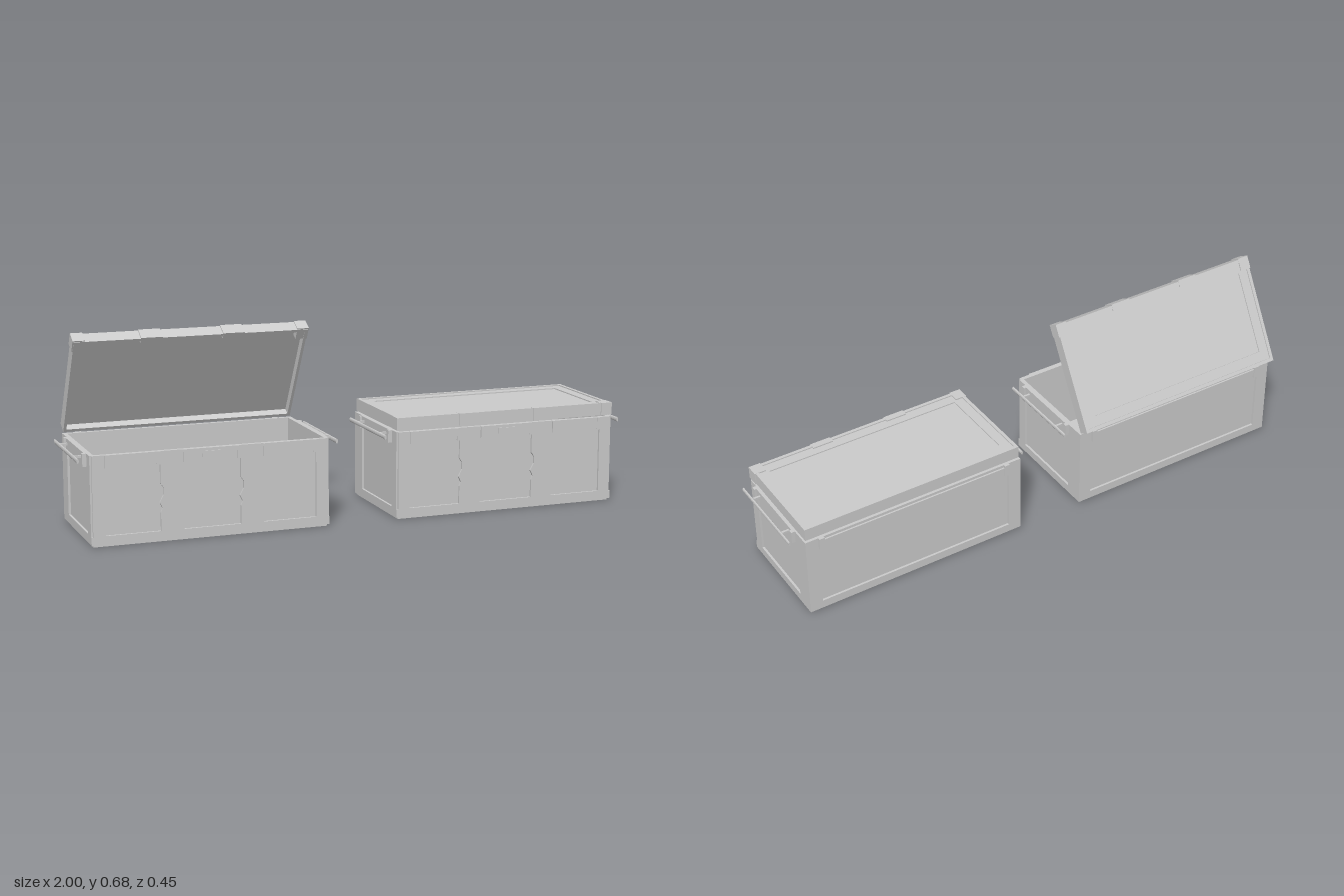
import * as THREE from 'three';

const mat = new THREE.MeshStandardMaterial({ color: 0xcccccc, flatShading: true });

function add(parent, name, geo) {
  const m = new THREE.Mesh(geo, mat);
  m.name = name;
  parent.add(m);
  return m;
}

// box given by its min and max on each axis
function box(parent, name, x0, x1, y0, y1, z0, z1) {
  const m = add(parent, name, new THREE.BoxGeometry(x1 - x0, y1 - y0, z1 - z0));
  m.position.set((x0 + x1) / 2, (y0 + y1) / 2, (z0 + z1) / 2);
  return m;
}

const rect = (x0, x1, y0, y1) => [[x0, y0], [x1, y0], [x1, y1], [x0, y1]];

// flat plate with cut-outs, extruded along +z
function plate(outline, holes, depth) {
  const pts = (a) => a.map(([x, y]) => new THREE.Vector2(x, y));
  const s = new THREE.Shape(pts(outline));
  holes.forEach((h) => s.holes.push(new THREE.Path(pts(h))));
  return new THREE.ExtrudeGeometry(s, { depth, bevelEnabled: false });
}

// horizontal frame lying in xz, between y0 and y1
function ring(parent, name, x, z0, z1, inset, y0, y1) {
  const geo = plate(rect(-x, x, -z1, -z0),
    [rect(-x + inset, x - inset, -z1 + inset, -z0 - inset)], y1 - y0);
  const m = add(parent, name, geo.rotateX(-Math.PI / 2));
  m.position.y = y0;
  return m;
}

const W = 0.418, ZB = -0.187, ZF = 0.217, TOP = 0.31, T = 0.008;

// front recess whose chosen edges step outward at mid height
function wavyHole(x0, x1, waveL, waveR) {
  const ys = [[0.037, 0], [0.1, 0], [0.115, 0.006], [0.135, -0.003], [0.16, 0.01], [0.185, 0.01], [0.2, 0], [0.265, 0]];
  const right = ys.map(([y, d]) => [x1 + (waveR ? d : 0), y]);
  const left = ys.map(([y, d]) => [x0 - (waveL ? d : 0), y]).reverse();
  return [...right, ...left];
}

function makeBody() {
  const g = new THREE.Group();
  g.name = 'body';
  box(g, 'foot', -W + 0.007, W - 0.007, 0, 0.01, ZB + 0.007, ZF - 0.007);
  box(g, 'base', -W, W, 0.007, 0.035, ZB, ZF);

  // thin inner walls
  ring(g, 'innerWalls', W - T, ZB + T, ZF - T, 0.007, 0.035, TOP);

  // front frame with three recesses and their grip tabs
  const bays = [[-0.37, -0.18, false, true], [-0.1, 0.1, true, true], [0.18, 0.37, true, false]];
  const front = add(g, 'frontFrame', plate(rect(-W + 0.006, W - 0.006, 0.035, TOP),
    bays.map((b) => wavyHole(...b)), T));
  front.position.z = ZF - T;
  for (const [a, b] of bays) {
    box(g, 'frontTab', a, b, 0.272, TOP, ZF - 0.002, ZF + 0.004);
    for (const x of [a, b - 0.012]) box(g, 'frontTabEnd', x, x + 0.012, 0.267, TOP, ZF - 0.002, ZF + 0.005);
  }
  box(g, 'latch', -0.035, 0.035, 0.28, 0.3, ZF, ZF + 0.007);

  // back frame with one long recess and a long grip bar
  const back = add(g, 'backFrame', plate(rect(-W + 0.006, W - 0.006, 0.035, TOP),
    [rect(-0.37, 0.37, 0.037, 0.265)], T));
  back.position.z = ZB;
  box(g, 'backBar', -0.37, 0.37, 0.275, 0.3, ZB - 0.006, ZB + 0.002);
  for (const s of [-1, 1]) {
    box(g, 'backBarEnd', s * 0.36 - 0.01, s * 0.36 + 0.01, 0.266, TOP, ZB - 0.009, ZB + 0.002);
  }

  // both ends: recessed frame, brackets, pins and carrying rod
  for (const s of [-1, 1]) {
    const side = add(g, 'sideFrame', plate(rect(ZB, ZF - 0.007, 0.035, TOP),
      [rect(-0.115, 0.17, 0.037, 0.265)], T));
    side.rotation.y = -Math.PI / 2;
    side.position.x = s > 0 ? W : -W + T;
    const bx = (name, x0, x1, ...r) => box(g, name, Math.min(s * x0, s * x1), Math.max(s * x0, s * x1), ...r);
    bx('handlePlate', W - 0.002, W + 0.006, 0.27, TOP, -0.1, 0.155);
    for (const z of [-0.115, 0.155]) bx('handleBracket', W - 0.002, W + 0.014, 0.266, TOP, z, z + 0.015);
    for (const z of [-0.08, 0.13]) bx('handlePin', W, W + 0.036, 0.289, 0.297, z - 0.004, z + 0.004);
    const rod = add(g, 'handleRod', new THREE.CylinderGeometry(0.008, 0.008, 0.34, 12).rotateX(Math.PI / 2));
    rod.scale.x = 0.5;
    rod.position.set(s * (W + 0.035), 0.292, 0.027);
  }
  return g;
}

// lid with its origin on the hinge line at the lower back edge
function makeLid() {
  const g = new THREE.Group();
  g.name = 'lid';
  const L = 0.395, X = 0.414;
  ring(g, 'lidSkirt', X, 0, L, 0.01, 0.002, 0.04);
  ring(g, 'lidRim', X, 0, L, 0.012, 0.04, 0.047);
  ring(g, 'lidBorder', X - 0.01, 0.01, L - 0.01, 0.038, 0.03, 0.043);
  box(g, 'lidPanel', -X + 0.008, X - 0.008, 0.028, 0.039, 0.008, L - 0.008);
  // clips along the front edge, the outer ones wrapping the corners
  for (const s of [-1, 1]) {
    const e = s * 0.397, c = s * 0.145;
    box(g, 'cornerClip', e - 0.021, e + 0.021, 0.004, 0.0475, L - 0.042, L + 0.004);
    box(g, 'frontClip', c - 0.038, c + 0.038, 0.001, 0.0475, L - 0.02, L + 0.004);
  }
  return g;
}

function makeCrate(name, x, angle) {
  const g = new THREE.Group();
  g.name = name;
  const lid = makeLid();
  lid.position.set(0, 0.313, -0.182);
  lid.rotation.x = -angle;
  g.add(makeBody(), lid);
  g.position.x = x;
  return g;
}

export function createModel() {
  const g = new THREE.Group();
  g.name = 'storageBoxes';
  g.add(makeCrate('openBox', -0.543, Math.PI / 3), makeCrate('closedBox', 0.543, 0));
  return g;
}
